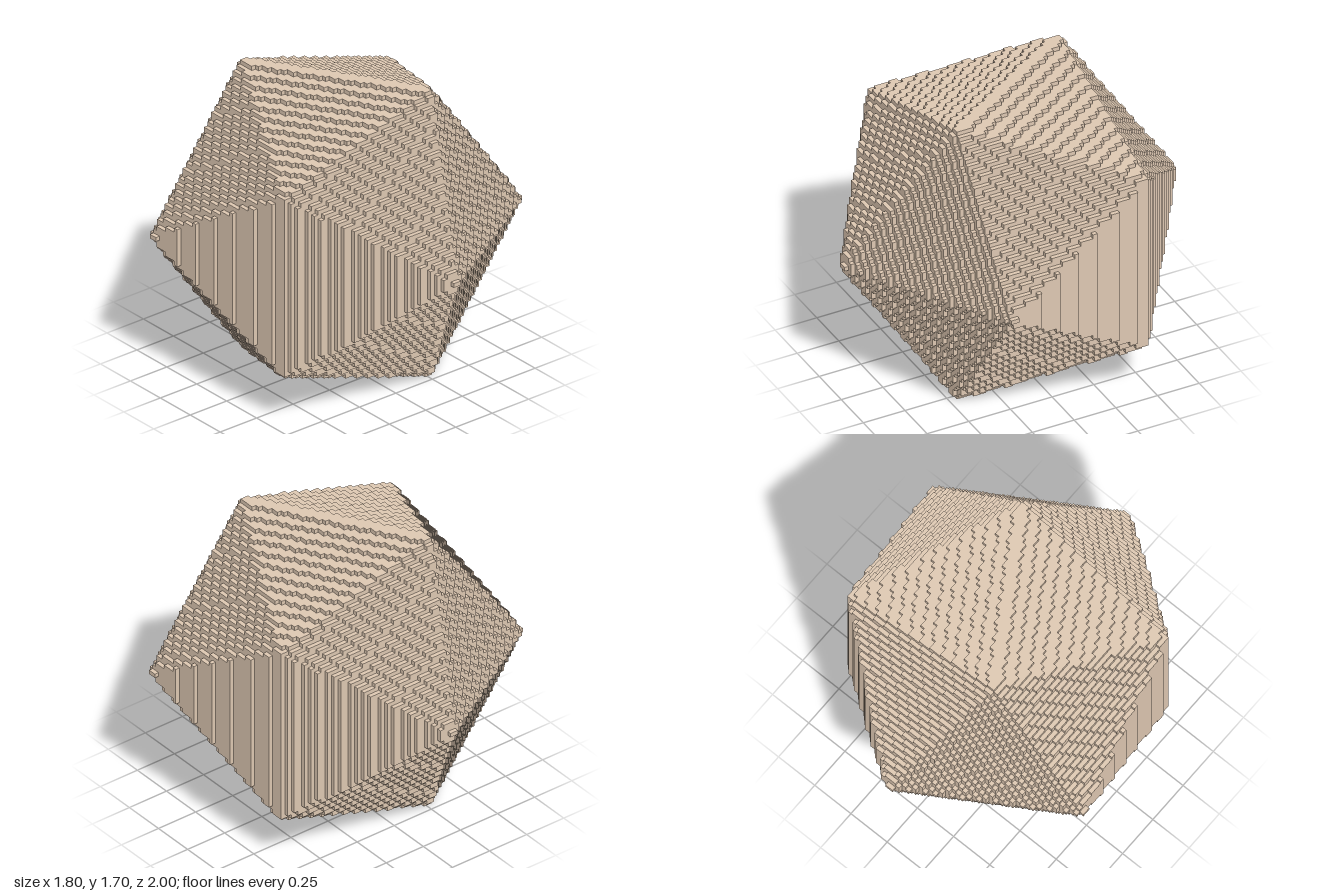
import * as THREE from 'three';

const VOXEL = 2 / 81;            // cube edge length
const HALF = [36, 34, 40];       // cubes either side of the centre cube in x, y, z
const RADIUS = 40.7;             // icosahedron circumradius, in cubes

// Icosahedron with its poles on z and a five-point ring near each pole
const ring = (sign, degrees) => {
  const a = THREE.MathUtils.degToRad(degrees), r = 2 / Math.sqrt(5);
  return new THREE.Vector3(r * Math.cos(a), r * Math.sin(a), sign / Math.sqrt(5));
};

// One normal for each of the ten pairs of opposite faces
function faceNormals() {
  const normals = [];
  for (let k = 0; k < 5; k++) {
    const a = ring(1, 72 * k), b = ring(1, 72 * k + 72);
    for (const c of [new THREE.Vector3(0, 0, 1), ring(-1, 72 * k + 36)]) {
      normals.push(c.add(a).add(b).normalize());
    }
  }
  return normals;
}

// Stepped surface: one square for every cube side that has no neighbour
function steppedGeometry() {
  const normals = faceNormals();
  const reach = RADIUS * 0.79465;
  const filled = ([x, y, z]) =>
    Math.abs(x) <= HALF[0] && Math.abs(y) <= HALF[1] && Math.abs(z) <= HALF[2] &&
    normals.every((n) => Math.abs(n.x * x + n.y * y + n.z * z) <= reach);

  const position = [], normal = [], index = [];
  const addSide = (cell, axis, sign) => {
    const u = (axis + 1) % 3, v = (axis + 2) % 3, start = position.length / 3;
    for (const [du, dv] of [[-1, -1], [1, -1], [1, 1], [-1, 1]]) {
      const p = [...cell], n = [0, 0, 0];
      p[axis] += sign / 2;
      p[u] += (du * sign) / 2;
      p[v] += dv / 2;
      n[axis] = sign;
      position.push(p[0] * VOXEL, (p[1] + HALF[1] + 0.5) * VOXEL, p[2] * VOXEL);
      normal.push(...n);
    }
    index.push(start, start + 1, start + 2, start, start + 2, start + 3);
  };

  // The solid is convex, so each row of cubes has just two exposed ends
  for (let axis = 0; axis < 3; axis++) {
    const u = (axis + 1) % 3, v = (axis + 2) % 3;
    for (let i = -HALF[u]; i <= HALF[u]; i++) {
      for (let j = -HALF[v]; j <= HALF[v]; j++) {
        const cell = [0, 0, 0];
        cell[u] = i;
        cell[v] = j;
        for (const sign of [-1, 1]) {
          for (let d = HALF[axis]; d >= -HALF[axis]; d--) {
            cell[axis] = sign * d;
            if (filled(cell)) {
              addSide(cell, axis, sign);
              break;
            }
          }
        }
      }
    }
  }

  const geometry = new THREE.BufferGeometry();
  geometry.setAttribute('position', new THREE.Float32BufferAttribute(position, 3));
  geometry.setAttribute('normal', new THREE.Float32BufferAttribute(normal, 3));
  geometry.setIndex(index);
  return geometry;
}

export function createModel() {
  const group = new THREE.Group();
  group.name = 'voxelIcosahedron';
  const body = new THREE.Mesh(
    steppedGeometry(),
    new THREE.MeshStandardMaterial({ color: 0xdec8b2 })
  );
  body.name = 'steppedBody';
  group.add(body);
  return group;
}
